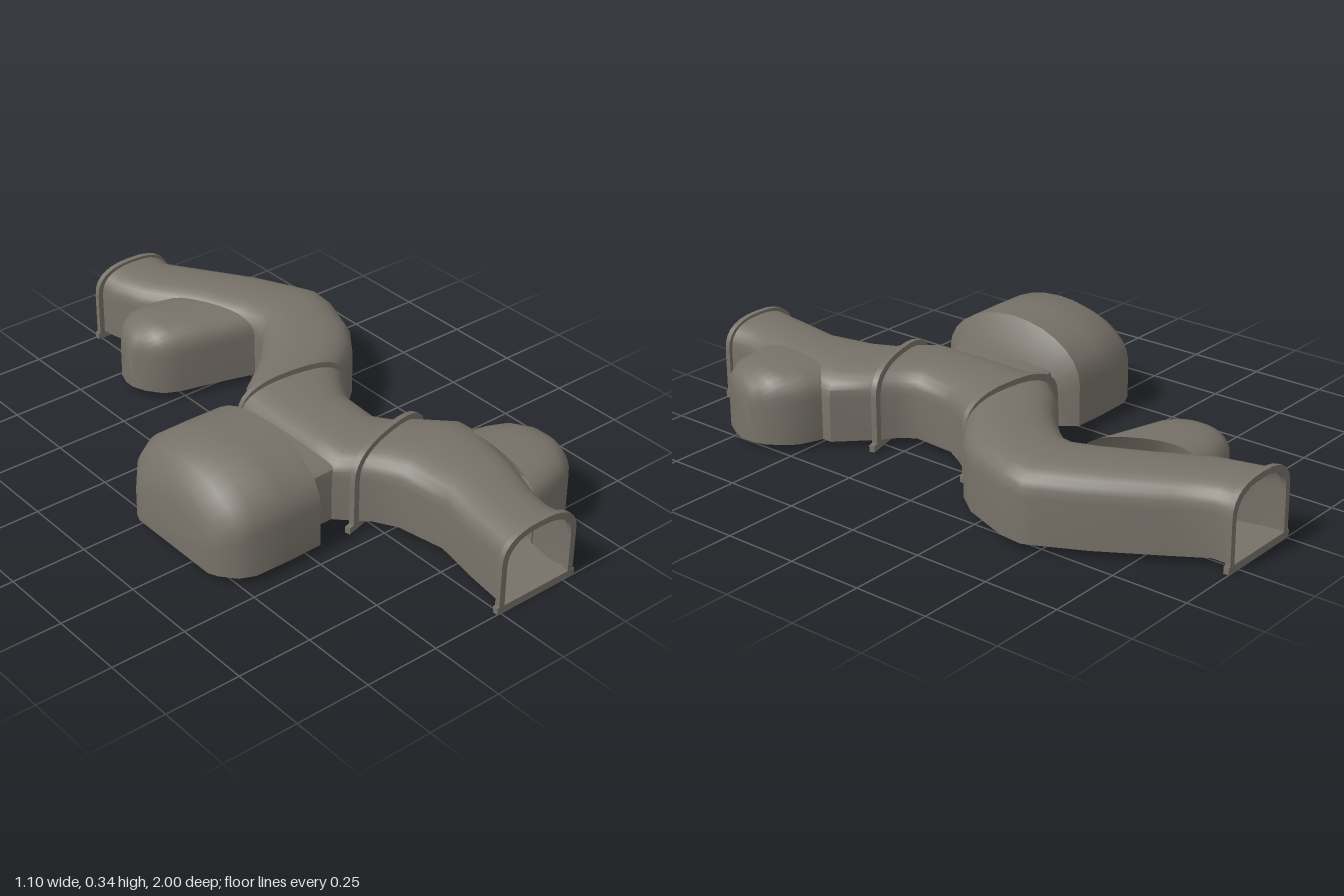
import * as THREE from 'three';
import { toCreasedNormals } from 'three/addons/utils/BufferGeometryUtils.js';

const FLOOR = 0.03;

// Arch profile as [u, v], u from -1 to 1 and v from 0 to 1
function arch(wall, power, n = 14) {
  const pts = [[-1, 0]];
  for (let i = 0; i <= n; i++) {
    const a = Math.PI * (1 - i / n), c = Math.cos(a), s = Math.max(0, Math.sin(a));
    const e = 2 / power;
    pts.push([Math.sign(c) * Math.abs(c) ** e, wall + (1 - wall) * s ** e]);
  }
  pts.push([1, 0]);
  return pts;
}

// Skins arches across stations [leftX, leftZ, rightX, rightZ, topY], with a floor
function loft(stations, profile, capEnd, capStart) {
  const pos = [], idx = [], n = profile.length;
  for (const [lx, lz, rx, rz, top] of stations) {
    for (const [u, v] of profile) {
      const t = (u + 1) / 2;
      pos.push(lx + (rx - lx) * t, FLOOR + (top - FLOOR) * v, lz + (rz - lz) * t);
    }
  }
  for (let s = 0; s < stations.length - 1; s++) {
    for (let i = 0; i < n; i++) {
      const j = (i + 1) % n, a = s * n + i, b = s * n + j;
      idx.push(a, a + n, b, b, a + n, b + n);
    }
  }
  const last = (stations.length - 1) * n;
  for (let i = 1; i < n - 1; i++) {
    if (capEnd) idx.push(last, last + i + 1, last + i);
    if (capStart) idx.push(0, i, i + 1);
  }
  const g = new THREE.BufferGeometry();
  g.setAttribute('position', new THREE.Float32BufferAttribute(pos, 3));
  g.setIndex(idx);
  return toCreasedNormals(g, 0.75);
}

export function createModel() {
  const group = new THREE.Group();
  const stone = new THREE.MeshStandardMaterial({ color: 0x777168, side: THREE.DoubleSide });
  stone.name = 'stone';
  const soft = arch(0.62, 2.5), round = arch(0.45, 2);

  function add(name, geometry, parent = group) {
    const mesh = new THREE.Mesh(geometry, stone);
    mesh.name = name;
    parent.add(mesh);
    return mesh;
  }

  // Winding passage in three lengths
  add('backPassage', loft([
    [0.01, -1, 0.28, -1, 0.26],
    [0.02, -0.93, 0.28, -0.93, 0.255],
    [0.05, -0.82, 0.35, -0.82, 0.26],
    [0.14, -0.67, 0.46, -0.64, 0.265],
    [0.21, -0.52, 0.53, -0.5, 0.265],
    [0.24, -0.43, 0.548, -0.46, 0.265],
    [0.23, -0.38, 0.54, -0.38, 0.265],
    [0.18, -0.32, 0.48, -0.22, 0.265],
    [0.1, -0.24, 0.42, -0.14, 0.265],
    [-0.01, -0.16, 0.36, -0.09, 0.265],
    [-0.08, -0.08, 0.29, -0.04, 0.265],
  ], soft));
  add('middlePassage', loft([
    [-0.1, -0.07, 0.29, -0.04, 0.265],
    [-0.1, 0.0, 0.24, 0.03, 0.262],
    [-0.1, 0.1, 0.2, 0.1, 0.26],
    [-0.1, 0.25, 0.19, 0.25, 0.26],
    [-0.1, 0.37, 0.23, 0.3, 0.262],
    [-0.06, 0.41, 0.28, 0.34, 0.265],
  ], soft));
  add('frontPassage', loft([
    [-0.06, 0.41, 0.28, 0.34, 0.265],
    [-0.01, 0.46, 0.38, 0.44, 0.265],
    [0.03, 0.53, 0.38, 0.52, 0.265],
    [0.06, 0.69, 0.34, 0.69, 0.26],
    [0.03, 0.85, 0.285, 0.84, 0.255],
    [0.02, 0.92, 0.27, 0.92, 0.255],
    [0.01, 1, 0.28, 1, 0.26],
  ], soft));

  // Rounded alcoves bulging from the passage
  add('frontAlcove', loft([
    [0.33, 0.46, 0.28, 0.84, 0.262],
    [0.4, 0.48, 0.36, 0.828, 0.262],
    [0.46, 0.505, 0.43, 0.815, 0.258],
    [0.5, 0.55, 0.485, 0.78, 0.245],
    [0.525, 0.59, 0.52, 0.72, 0.22],
    [0.535, 0.63, 0.535, 0.68, 0.18],
  ], soft, true));
  add('backAlcove', loft([
    [0.24, -0.43, 0.09, -0.76, 0.262],
    [0.08, -0.475, 0.03, -0.775, 0.26],
    [-0.02, -0.5, -0.04, -0.768, 0.255],
    [-0.07, -0.525, -0.08, -0.745, 0.243],
    [-0.107, -0.575, -0.11, -0.705, 0.22],
    [-0.125, -0.62, -0.125, -0.66, 0.18],
  ], soft, true));

  // Side chamber with vaulted roof and short doorway
  const chamber = [
    [-0.155, 0.2, 0.25], [-0.21, 0.27, 0.342], [-0.33, 0.273, 0.342], [-0.45, 0.27, 0.342],
    [-0.5, 0.248, 0.31], [-0.54, 0.2, 0.235], [-0.553, 0.17, 0.19],
  ];
  add('sideChamber', loft(chamber.map(([x, w, h]) => [x, 0.18 - w, x, 0.18 + w, h]),
    round, true, true));
  add('chamberDoorway', loft([
    [-0.09, -0.01, -0.09, 0.37, 0.222],
    [-0.165, -0.01, -0.165, 0.37, 0.222],
  ], arch(0.85, 4)));

  // Arched collars at the joints and mouths
  function collar(name, x, z, turn, half, top, rim, foot, profile) {
    const holder = new THREE.Group();
    holder.name = name;
    const trace = (path, w, h) => path.setFromPoints(
      profile.map(([u, v]) => new THREE.Vector2(u * w, 0.01 + (h - 0.01) * v)));
    const shape = trace(new THREE.Shape(), half, top);
    shape.holes.push(trace(new THREE.Path(), half - rim, top - rim));
    const geometry = new THREE.ExtrudeGeometry(shape, { depth: 0.018, bevelEnabled: false });
    geometry.translate(0, 0, -0.009);
    add('archRim', toCreasedNormals(geometry, 0.6), holder);
    const sill = add('sill', new THREE.BoxGeometry(foot * 2, 0.022, 0.018), holder);
    sill.position.y = 0.017;
    holder.position.set(x, 0, z);
    holder.rotation.y = turn;
    group.add(holder);
  }
  collar('backJointCollar', 0.1, -0.06, -0.1, 0.2, 0.283, 0.028, 0.21, soft);
  collar('frontJointCollar', 0.115, 0.378, 0.26, 0.19, 0.283, 0.028, 0.21, soft);
  collar('frontMouthCollar', 0.142, 0.991, 0, 0.148, 0.268, 0.02, 0.155, soft);
  collar('backMouthCollar', 0.142, -0.991, 0, 0.148, 0.268, 0.02, 0.155, soft);

  return group;
}
